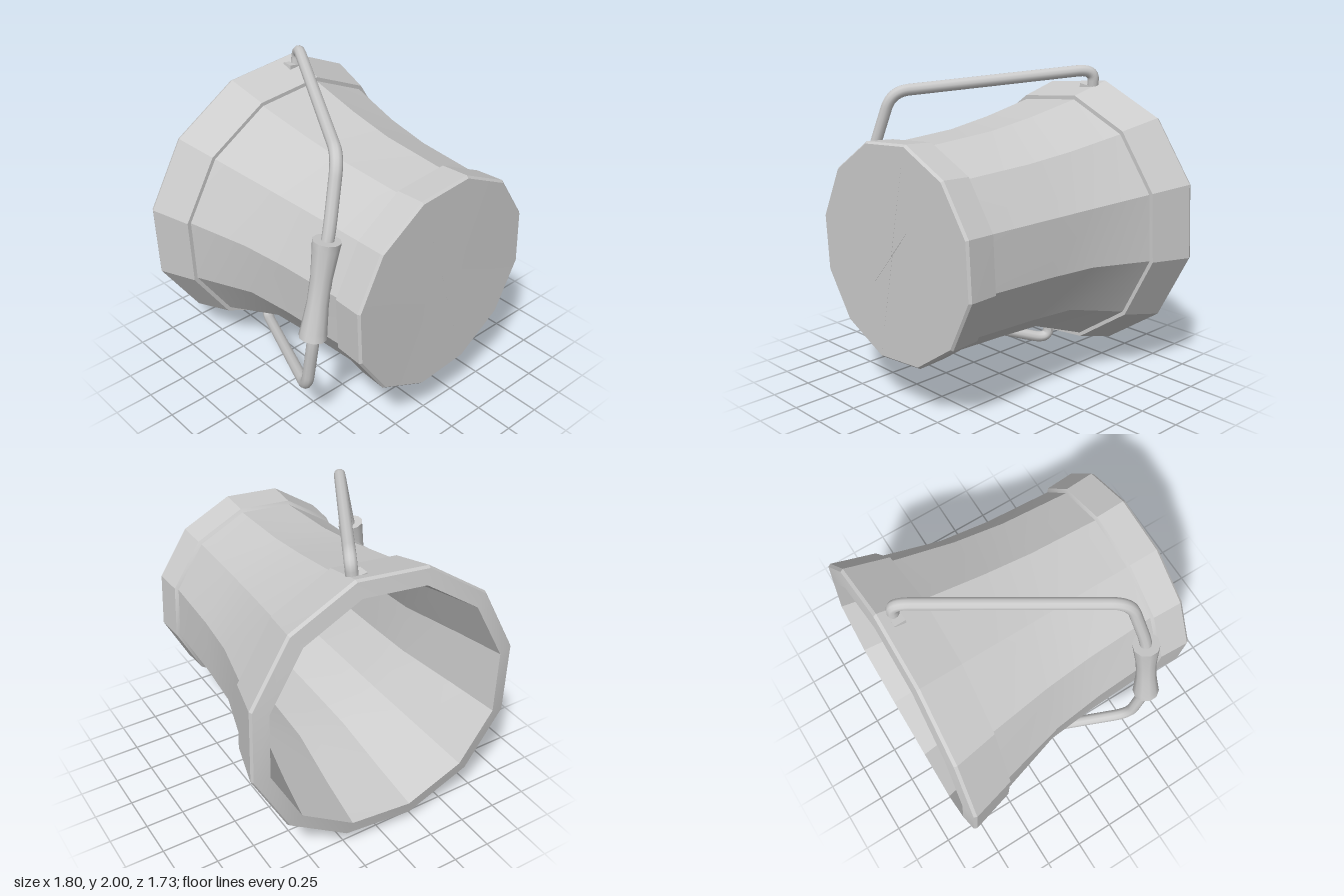
import * as THREE from 'three';
import { toCreasedNormals } from 'three/addons/utils/BufferGeometryUtils.js';

const SIDES = 12;
const OFFSET = THREE.MathUtils.degToRad(-11);

// Sweeps a [z, radius, bulge] profile round the slightly tilted bucket axis.
// The section is a little skewed, and the mouth is warped and turned.
function facetedShell(profile) {
  const pos = [], index = [];
  for (const [z, r, bulge = 0] of profile) {
    const tilt = 0.015 - 0.012 * z;
    const skew = 0.027 - 0.012 * z;
    const mouth = z < -0.4 ? 1 : 0;
    for (let j = 0; j < SIDES; j++) {
      const a = OFFSET + (j / SIDES) * Math.PI * 2;
      const c = Math.cos(a), s = Math.sin(a);
      const rad = r + bulge * s;
      pos.push(
        rad * (c + skew * s),
        0.995 + 0.018 * z + rad * (s + skew * c),
        z + tilt * s + mouth * (0.012 * c - 0.03 * c * c));
    }
  }
  for (let i = 0; i < profile.length - 1; i++) {
    for (let j = 0; j < SIDES; j++) {
      const k = (j + 1) % SIDES;
      const a = i * SIDES + j, b = i * SIDES + k;
      index.push(a, a + SIDES, b + SIDES, a, b + SIDES, b);
    }
  }
  const g = new THREE.BufferGeometry();
  g.setAttribute('position', new THREE.Float32BufferAttribute(pos, 3));
  g.setIndex(index);
  return toCreasedNormals(g, 0.35);
}

// Wire through straight runs with rounded corners.
function bentWire(points, radius) {
  const path = new THREE.CurvePath();
  const v = points.map((p) => new THREE.Vector3(...p));
  let from = v[0];
  for (let i = 1; i < v.length - 1; i++) {
    const bend = 0.11;
    const cut = (to) => v[i].clone().lerp(to, Math.min(0.45, bend / v[i].distanceTo(to)));
    const p = cut(v[i - 1]), q = cut(v[i + 1]);
    path.add(new THREE.LineCurve3(from, p));
    path.add(new THREE.QuadraticBezierCurve3(p, v[i], q));
    from = q;
  }
  path.add(new THREE.LineCurve3(from, v[v.length - 1]));
  return new THREE.TubeGeometry(path, 120, radius, 10);
}

export function createModel() {
  const model = new THREE.Group();
  const material = new THREE.MeshStandardMaterial({ color: 0xcccccc });
  const add = (name, geometry) => {
    const mesh = new THREE.Mesh(geometry, material);
    mesh.name = name;
    model.add(mesh);
    return mesh;
  };

  // Bucket lying on its side: base at +z, mouth at -z, hollow inside
  add('bucket', facetedShell([
    [0.86, 0], [0.86, 0.672], [0.845, 0.685],
    [0.66, 0.675], [0.645, 0.655],
    [0.2, 0.675, 0.012], [-0.12, 0.707, 0.033], [-0.5, 0.82],
    [-0.5, 0.845], [-0.775, 0.922],
    [-0.795, 0.912], [-0.815, 0.815],
    [-0.5, 0.745], [-0.12, 0.645], [0.2, 0.62], [0.78, 0.59], [0.78, 0],
  ]));

  // Wire handle swung over to the right side
  const gripTop = new THREE.Vector3(-0.612, 1.43, 0.535);
  const gripEnd = new THREE.Vector3(-0.73, 0.83, 0.54);
  add('upperHandleWire', bentWire([
    [0.17, 1.82, -0.67], [0.185, 1.972, -0.66], [-0.47, 1.872, 0.465],
    [-0.595, 1.47, 0.535], [-0.625, 1.36, 0.535],
  ], 0.037));
  add('lowerHandleWire', bentWire([
    [-0.72, 0.88, 0.54], [-0.73, 0.78, 0.54], [-0.728, 0.405, 0.47],
    [-0.17, 0.018, -0.645], [-0.17, 0.17, -0.655],
  ], 0.037));

  // Waisted grip on the wire
  const half = gripTop.distanceTo(gripEnd) / 2;
  const profile = [[0, -half], [0.084, -half], [0.079, -half + 0.05], [0.064, -0.08],
    [0.064, 0.08], [0.079, half - 0.05], [0.084, half], [0, half]];
  const gripGeometry = new THREE.LatheGeometry(profile.map((p) => new THREE.Vector2(...p)), 10);
  const grip = add('grip', toCreasedNormals(gripGeometry, 0.7));
  grip.position.copy(gripTop).add(gripEnd).multiplyScalar(0.5);
  grip.quaternion.setFromUnitVectors(
    new THREE.Vector3(0, 1, 0), gripTop.clone().sub(gripEnd).normalize());

  // Small ears where the wire hooks into the rim band
  for (const [x, y, z] of [[0.145, 1.855, -0.665], [-0.155, 0.12, -0.645]]) {
    const ear = add('handleEar', new THREE.BoxGeometry(0.1, 0.03, 0.07));
    ear.position.set(x, y, z);
    ear.rotation.z = -0.15;
  }
  return model;
}
